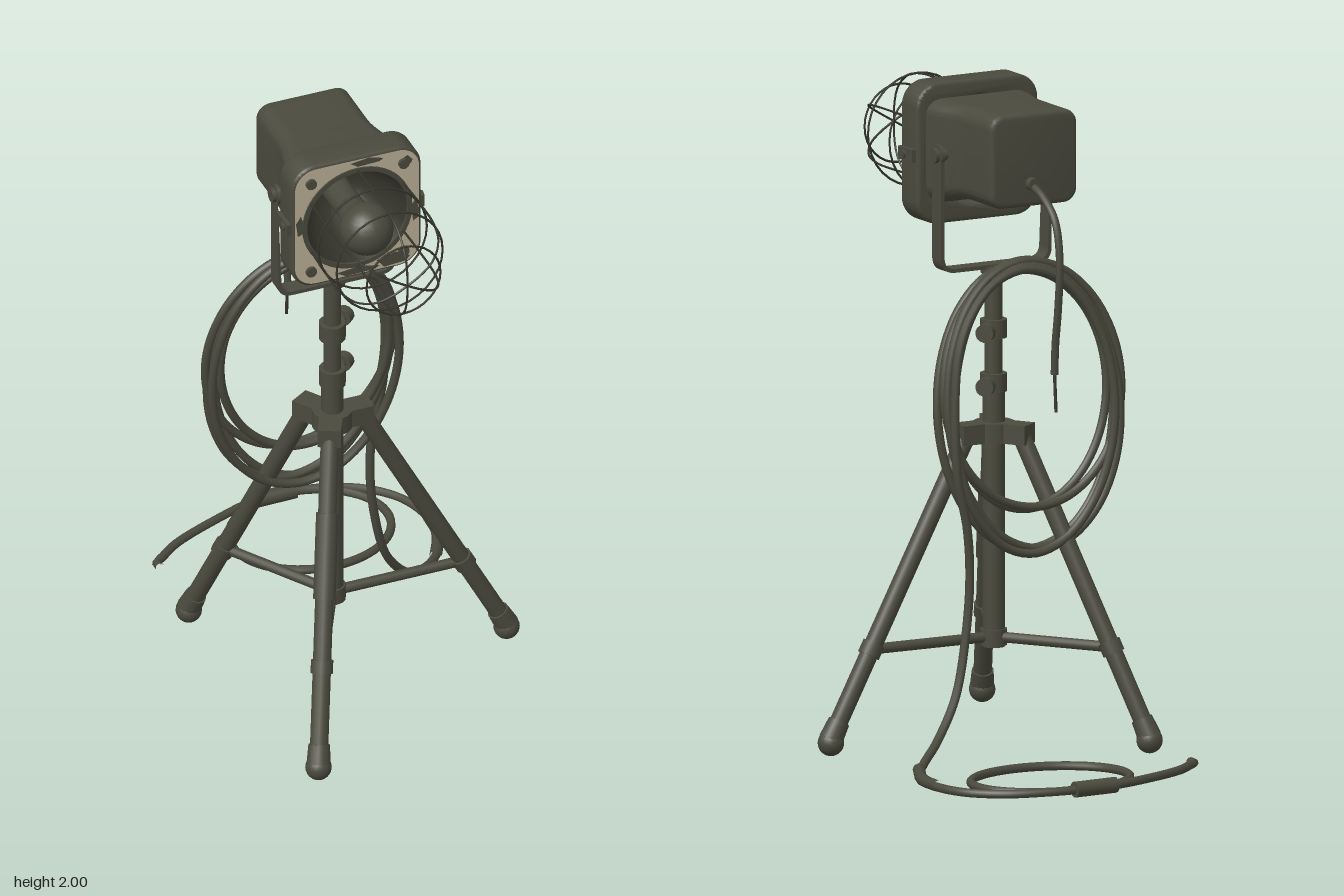
import * as THREE from 'three';
import { toCreasedNormals } from 'three/addons/utils/BufferGeometryUtils.js';

const V = (x, y, z) => new THREE.Vector3(x, y, z);
const CX = -0.125, CZ = 0.18, HY = 1.785; // pole axis and lamp height

export function createModel() {
  const root = new THREE.Group();
  const paint = (name, color, side = THREE.FrontSide) => {
    const m = new THREE.MeshStandardMaterial({ color, side });
    m.name = name;
    return m;
  };
  const olive = paint('olive paint', 0x4b4a3e);
  const dark = paint('dark metal', 0x35342b, THREE.DoubleSide);
  const beige = paint('worn beige', 0xb9ae95);

  const add = (name, geo, mat = olive, parent = root) => {
    const m = new THREE.Mesh(geo, mat);
    m.name = name;
    parent.add(m);
    return m;
  };
  const group = (name) => {
    const g = new THREE.Group();
    g.name = name;
    root.add(g);
    return g;
  };
  const rod = (name, a, b, r, parent = root, mat = olive, r2 = r) => {
    const d = b.clone().sub(a);
    const m = add(name, new THREE.CylinderGeometry(r2, r, d.length(), 14), mat, parent);
    m.position.copy(a).addScaledVector(d, 0.5);
    m.quaternion.setFromUnitVectors(V(0, 1, 0), d.normalize());
    return m;
  };
  const ball = (name, p, r, parent = root, mat = olive) => {
    const m = add(name, new THREE.SphereGeometry(r, 20, 14), mat, parent);
    m.position.copy(p);
    return m;
  };
  const tube = (name, pts, r, seg, parent = root, mat = olive, sides = 8) =>
    add(name, new THREE.TubeGeometry(new THREE.CatmullRomCurve3(pts), seg, r, sides), mat, parent);
  const roundRect = (w, h, r) => {
    const s = new THREE.Shape();
    s.absarc(w - r, h - r, r, 0, Math.PI / 2);
    s.absarc(r - w, h - r, r, Math.PI / 2, Math.PI);
    s.absarc(r - w, r - h, r, Math.PI, Math.PI * 1.5);
    s.absarc(w - r, r - h, r, Math.PI * 1.5, Math.PI * 2);
    s.closePath();
    return s;
  };
  const circleHole = (r) => new THREE.Path().absarc(0, 0, r, 0, Math.PI * 2, true);

  // Tripod: pole, collars with thumb screws, hub, legs and braces
  const tripod = group('tripod');
  rod('lowerPole', V(CX, 0.28, CZ), V(CX, 1.1, CZ), 0.034, tripod);
  rod('upperPole', V(CX, 1.05, CZ), V(CX, 1.45, CZ), 0.027, tripod);
  rod('poleCap', V(CX, 1.425, CZ), V(CX, 1.445, CZ), 0.04, tripod);
  for (const y of [1.09, 1.255]) {
    rod('collar', V(CX, y - 0.028, CZ), V(CX, y + 0.028, CZ), 0.041, tripod);
    rod('screwShaft', V(CX, y, CZ), V(-0.065, y, 0.124), 0.014, tripod);
    rod('screwKnob', V(-0.075, y, 0.133), V(-0.053, y, 0.112), 0.028, tripod);
  }
  rod('hub', V(CX, 0.91, CZ), V(CX, 0.97, CZ), 0.062, tripod);
  rod('braceHub', V(CX, 0.285, CZ), V(CX, 0.335, CZ), 0.041, tripod);
  for (const [fx, fz] of [[0.44, 0.18], [-0.37, 0.67], [-0.41, -0.262]]) {
    const foot = V(fx, 0.05, fz);
    const dir = V(fx - CX, 0, fz - CZ).normalize();
    const top = V(CX, 0.94, CZ).addScaledVector(dir, 0.09);
    const on = (t) => top.clone().lerp(foot, t);
    rod('leg', foot, top, 0.028, tripod);
    rod('footSleeve', foot, on(0.94), 0.037, tripod, olive, 0.033);
    ball('foot', V(fx, 0.04, fz), 0.04, tripod);
    const lug = add('hubLug', new THREE.BoxGeometry(0.085, 0.06, 0.07), olive, tripod);
    lug.position.set(CX, 0.94, CZ).addScaledVector(dir, 0.08);
    lug.rotation.y = Math.atan2(-dir.z, dir.x);
    const joint = on(0.705);
    rod('brace', V(CX, 0.31, CZ), joint, 0.016, tripod);
    rod('braceClamp', on(0.685), on(0.725), 0.034, tripod);
    if (fz > 0.5) rod('legSleeve', on(0.24), on(0.5), 0.034, tripod);
  }

  // U-shaped yoke holding the lamp
  const yoke = group('yoke');
  const u = new THREE.Shape();
  const W = 0.192, w = 0.18, yb = 1.44, yt = 1.8;
  u.moveTo(-W, yt);
  u.lineTo(-W, yb + 0.05);
  u.quadraticCurveTo(-W, yb, -W + 0.05, yb);
  u.lineTo(W - 0.05, yb);
  u.quadraticCurveTo(W, yb, W, yb + 0.05);
  u.lineTo(W, yt);
  u.lineTo(w, yt);
  u.lineTo(w, yb + 0.05);
  u.quadraticCurveTo(w, yb + 0.012, w - 0.038, yb + 0.012);
  u.lineTo(-w + 0.038, yb + 0.012);
  u.quadraticCurveTo(-w, yb + 0.012, -w, yb + 0.05);
  u.closePath();
  add('yokeBar', new THREE.ExtrudeGeometry(u, { depth: 0.054, bevelEnabled: false }), olive, yoke)
    .position.set(CX, 0, 0.163);
  for (const s of [-1, 1]) {
    const px = (d) => V(CX + s * d, 1.8, 0.19);
    rod('yokeEnd', px(0.18), px(0.192), 0.032, yoke);
    rod('pivot', px(0.13), px(0.2), 0.018, yoke);
    rod('pivotNut', px(0.185), px(0.205), 0.023, yoke);
    const latch = add('latch', new THREE.BoxGeometry(0.03, 0.04, 0.085), olive, yoke);
    latch.position.set(CX + s * 0.208, 1.783, 0.325);
    rod('latchScrew', V(CX + s * 0.2, 1.783, 0.335), V(CX + s * 0.23, 1.783, 0.335), 0.014, yoke);
  }

  // Lamp housing: rounded box that flares toward the front rim
  const lamp = group('lampHead');
  const bodyGeo = new THREE.ExtrudeGeometry(roundRect(0.15, 0.143, 0.045), {
    depth: 0.32, steps: 12, bevelThickness: 0.014, bevelSize: 0.014, bevelOffset: -0.014, bevelSegments: 3, curveSegments: 6,
  });
  const p = bodyGeo.attributes.position;
  for (let i = 0; i < p.count; i++) {
    const t = THREE.MathUtils.smoothstep(p.getZ(i), 0.16, 0.33);
    p.setX(i, p.getX(i) * (1 + 0.22 * t));
    if (p.getY(i) < 0) p.setY(i, p.getY(i) * (1 + 0.2 * t));
  }
  // Cut the front cap away so that the reflector stays open
  const kept = [];
  for (let i = 0; i < p.count; i += 3) {
    if (Math.min(p.getZ(i), p.getZ(i + 1), p.getZ(i + 2)) > 0.319) continue;
    for (let k = i; k < i + 3; k++) kept.push(p.getX(k), p.getY(k), p.getZ(k));
  }
  const shell = new THREE.BufferGeometry();
  shell.setAttribute('position', new THREE.Float32BufferAttribute(kept, 3));
  add('housing', toCreasedNormals(shell, 0.6), olive, lamp).position.set(CX, 1.812, -0.052);

  // Front rim, its worn beige face and corner bolts
  const rim = roundRect(0.21, 0.215, 0.075);
  rim.holes.push(circleHole(0.165));
  const rimGeo = new THREE.ExtrudeGeometry(rim, {
    depth: 0.08, bevelThickness: 0.01, bevelSize: 0.01, bevelOffset: -0.01, bevelSegments: 3, curveSegments: 16,
  });
  add('frontRim', toCreasedNormals(rimGeo, 0.6), olive, lamp).position.set(CX, HY, 0.284);
  const face = roundRect(0.201, 0.206, 0.068);
  face.holes.push(circleHole(0.176));
  add('wornFace', new THREE.ShapeGeometry(face, 20), beige, lamp).position.set(CX, HY, 0.376);
  const bezel = new THREE.Shape().absarc(0, 0, 0.178, 0, Math.PI * 2);
  bezel.holes.push(circleHole(0.163));
  add('bezel', new THREE.ExtrudeGeometry(bezel, { depth: 0.008, bevelEnabled: false, curveSegments: 24 }), olive, lamp)
    .position.set(CX, HY, 0.373);
  for (const sx of [-1, 1]) for (const sy of [-1, 1]) {
    const x = CX + sx * 0.15, y = HY + sy * 0.158;
    rod('cornerBolt', V(x, y, 0.37), V(x, y, 0.386), 0.017, lamp);
  }
  // Paint left on the rim face as ragged patches: x, y, width, height
  for (const [x, y, pw, ph] of [[0, -0.192, 0.13, 0.026], [0.115, -0.18, 0.1, 0.045], [0.03, 0.193, 0.1, 0.024],
    [-0.185, 0.01, 0.026, 0.07], [0.16, 0.165, 0.035, 0.035], [0.188, -0.02, 0.024, 0.08]]) {
    const patch = new THREE.Shape();
    for (let i = 0; i < 9; i++) {
      const a = (i / 9) * Math.PI * 2, k = i % 2 ? 0.42 : 0.56;
      patch[i ? 'lineTo' : 'moveTo'](Math.cos(a) * pw * k, Math.sin(a) * ph * k);
    }
    add('paintPatch', new THREE.ShapeGeometry(patch), olive, lamp).position.set(CX + x, HY + y, 0.3775);
  }

  // Reflector, socket and bulb
  const reflector = add('reflector', new THREE.LatheGeometry(
    [[0.001, 0.17], [0.06, 0.17], [0.09, 0.2], [0.135, 0.28], [0.166, 0.372]].map(([r, z]) => new THREE.Vector2(r, z)), 32), dark, lamp);
  reflector.position.set(CX, HY, 0);
  reflector.rotation.x = Math.PI / 2;
  rod('socket', V(CX, HY, 0.17), V(CX, HY, 0.33), 0.045, lamp);
  rod('bulbNeck', V(CX, HY, 0.32), V(CX, HY, 0.41), 0.042, lamp, olive, 0.062);
  ball('bulb', V(CX, 1.79, 0.452), 0.082, lamp);

  // Wire guard: six domed wires and three rings
  const cage = group('wireGuard');
  for (let i = 0; i < 6; i++) {
    const a = Math.PI / 2 + (i * Math.PI) / 3;
    const pts = [[0.172, 0.37], [0.176, 0.5], [0.173, 0.62], [0.152, 0.7], [0.105, 0.755], [0.05, 0.774], [0, 0.777]]
      .map(([r, z]) => V(CX + Math.cos(a) * r, HY + Math.sin(a) * r, z));
    tube('guardWire', pts, 0.0035, 24, cage, dark, 6);
  }
  for (const [r, z] of [[0.176, 0.5], [0.172, 0.635], [0.12, 0.745]]) {
    add('guardRing', new THREE.TorusGeometry(r, 0.0035, 6, 32), dark, cage).position.set(CX, HY, z);
  }

  // Short lead hanging behind the lamp
  const lead = [[-0.06, 1.74], [-0.14, 1.71], [-0.21, 1.65], [-0.238, 1.54], [-0.228, 1.38], [-0.212, 1.27], [-0.207, 1.18]];
  tube('lampLead', lead.map(([z, y]) => V(-0.112, y, z)), 0.012, 40);
  rod('leadSocket', V(-0.112, 1.74, -0.09), V(-0.112, 1.74, -0.05), 0.02);
  rod('leadEnd', V(-0.112, 1.185, -0.207), V(-0.112, 1.065, -0.216), 0.005, root, dark);

  // Long cable: hung coil, drop to the floor, floor loop and tail
  const cable = [];
  const turns = 5, step = 16;
  for (let i = 0; i <= turns * step + 3; i++) {
    const t = i / step, a = t * Math.PI * 2;
    const wob = Math.sin(t * 2.4);
    const top = 1.465 + 0.015 * wob, bottom = 0.58 + 0.09 * (1 - Math.cos(t * 1.55)) ;
    const c = Math.cos(a), down = (1 - c) / 2;
    const half = 0.292 + 0.017 * Math.cos(t * 2.1);
    cable.push(V(-0.155 + half * Math.sin(a) - 0.01 * wob,
      (top + bottom) / 2 + ((top - bottom) / 2) * c,
      0.09 - 0.012 * t - 0.075 * down - 0.006 * t * Math.sin(down * Math.PI)));
  }
  for (const q of [[0.135, 0.88, -0.05], [0.1, 0.7, -0.05], [0.09, 0.55, -0.048], [0.108, 0.38, -0.056], [0.16, 0.2, -0.085],
    [0.25, 0.085, -0.135], [0.35, 0.035, -0.22], [0.425, 0.02, -0.32], [0.455, 0.02, -0.45], [0.425, 0.02, -0.59],
    [0.34, 0.022, -0.685], [0.22, 0.025, -0.737]]) cable.push(V(...q));
  for (let i = 0; i <= 20; i++) {
    const a = -Math.PI / 2 - (i / 20) * Math.PI * 2;
    cable.push(V(0.1 + 0.25 * Math.cos(a), 0.026 - 0.008 * Math.sin((i / 20) * Math.PI), -0.548 + 0.205 * Math.sin(a)));
  }
  for (const q of [[0, 0.026, -0.748], [-0.12, 0.024, -0.71], [-0.3, 0.022, -0.63], [-0.37, 0.022, -0.575],
    [-0.395, 0.022, -0.555], [-0.395, 0.022, -0.53]]) cable.push(V(...q));
  tube('cable', cable, 0.0135, 640);

  // Thicker sleeves on the floor cable
  tube('cableSleeve', [V(0.455, 0.024, -0.49), V(0.445, 0.024, -0.38), V(0.39, 0.03, -0.26)], 0.019, 12);
  rod('cableConnector', V(0.135, 0.027, -0.752), V(-0.01, 0.027, -0.748), 0.024);
  return root;
}
